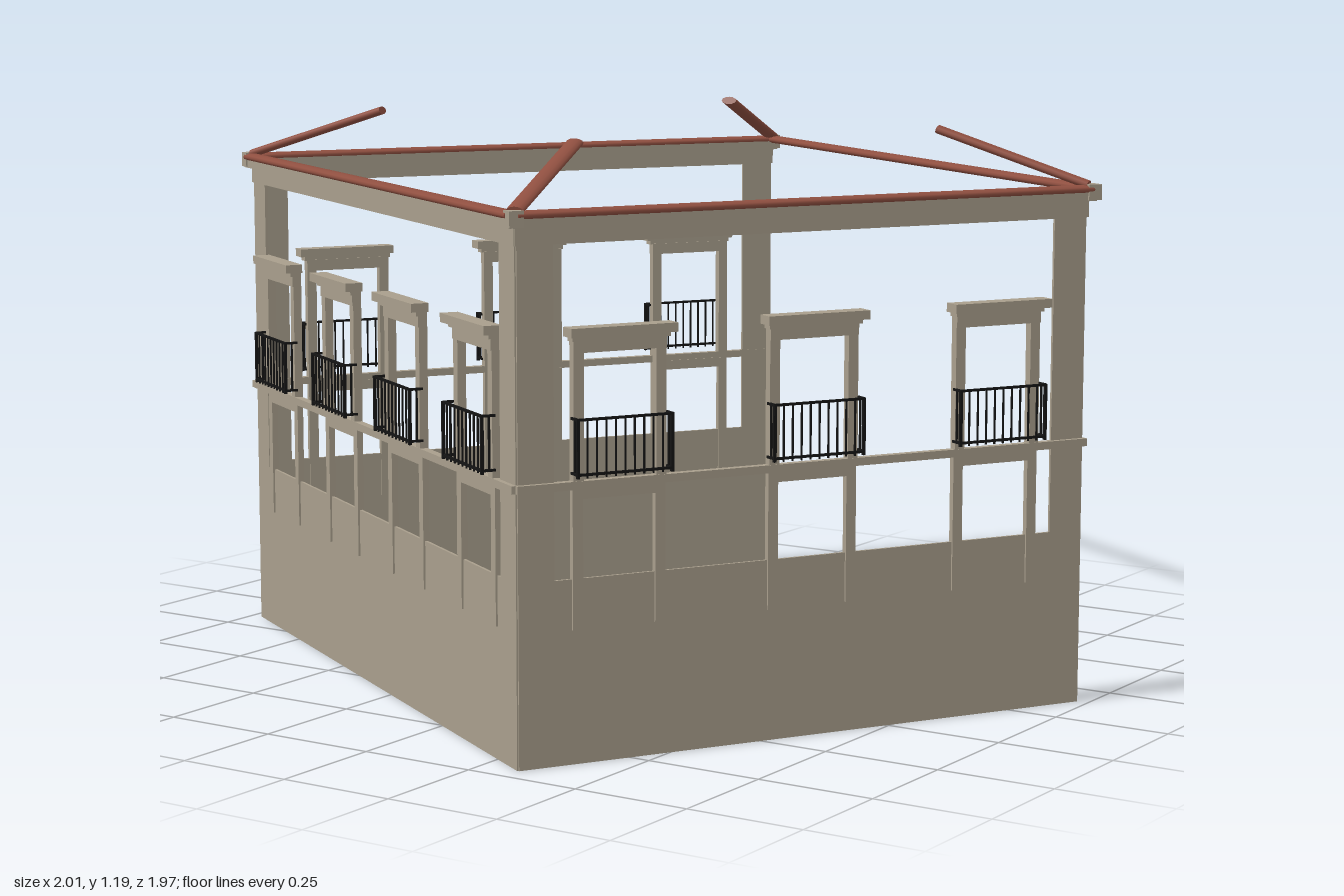
import * as THREE from 'three';

const mat = (name, color) => {
  const m = new THREE.MeshStandardMaterial({ color });
  m.name = name;
  return m;
};

export function createModel() {
  const stone = mat('stone', 0xa89e8c);
  const tile = mat('roof tile', 0x8f4f40);
  const iron = mat('black iron', 0x141414);

  const model = new THREE.Group();
  model.name = 'buildingShell';

  // box given by its extents along the wall, upward and outward
  const box = (parent, name, material, x0, x1, y0, y1, z0, z1) => {
    const mesh = new THREE.Mesh(new THREE.BoxGeometry(x1 - x0, y1 - y0, z1 - z0), material);
    mesh.position.set((x0 + x1) / 2, (y0 + y1) / 2, (z0 + z1) / 2);
    mesh.name = name;
    parent.add(mesh);
  };

  // flattened round tile run between two points
  const tileRun = (name, from, to) => {
    const length = from.distanceTo(to);
    const geo = new THREE.CylinderGeometry(0.018, 0.018, length, 12);
    geo.rotateX(Math.PI / 2).scale(1, 0.5, 1);
    const mesh = new THREE.Mesh(geo, tile);
    mesh.position.copy(from).lerp(to, 0.5);
    mesh.lookAt(to);
    mesh.name = name;
    model.add(mesh);
  };

  // balcony railing with front bars and short returns
  const railing = (parent) => {
    const r = new THREE.Group();
    r.name = 'balconyRailing';
    const t = 0.0025, w = 0.1, d = 0.034;
    for (const y of [0.572, 0.678]) {
      box(r, 'rail', iron, -w, w, y - t, y + t, d - t, d + t);
      for (const s of [-1, 1]) box(r, 'sideRail', iron, s * w - t, s * w + t, y - t, y + t, 0.006, d);
    }
    const bars = 10;
    for (let i = 0; i <= bars; i++) {
      const x = -w + (2 * w * i) / bars;
      const b = i % bars ? 0.0016 : 0.003;
      box(r, 'bar', iron, x - b, x + b, 0.565, 0.68, d - b, d + b);
    }
    for (const s of [-1, 1]) box(r, 'sideBar', iron, s * w - 0.0016, s * w + 0.0016, 0.572, 0.678, 0.017, 0.021);
    parent.add(r);
  };

  // upper window frame with hood, and the door frame beneath it
  const bay = (parent, x) => {
    const g = new THREE.Group();
    g.name = 'windowBay';
    g.position.x = x;
    for (const s of [-1, 1]) {
      const c = s * 0.088;
      box(g, 'windowJamb', stone, c - 0.011, c + 0.011, 0.555, 0.805, -0.006, 0.012);
      box(g, 'doorJamb', stone, c - 0.011, c + 0.011, 0.265, 0.525, -0.006, 0.007);
    }
    box(g, 'windowLintel', stone, -0.099, 0.099, 0.803, 0.828, -0.006, 0.014);
    box(g, 'windowHood', stone, -0.113, 0.113, 0.835, 0.853, -0.004, 0.034);
    box(g, 'hoodNeck', stone, -0.104, 0.104, 0.826, 0.837, -0.004, 0.02);
    box(g, 'doorLintel', stone, -0.099, 0.099, 0.52, 0.542, -0.006, 0.007);
    railing(g);
    parent.add(g);
  };

  // building corners on plan: x, z
  const corners = [[-0.973, 0.158], [0.335, 0.953], [0.973, -0.147], [-0.277, -0.953]];
  const bays = [4, 3, 0, 3];

  corners.forEach(([px, pz], i) => {
    const [qx, qz] = corners[(i + 1) % 4];
    const dx = qx - px, dz = qz - pz, L = Math.hypot(dx, dz);
    const ux = dx / L, uz = dz / L;

    // eaves tile run, set slightly outside the wall
    const eave = (t) => new THREE.Vector3(px + ux * t - uz * 0.008, 1.07, pz + uz * t + ux * 0.008);
    tileRun('eavesTiles', eave(-0.005), eave(L + 0.005));

    // short hip tiles rising from the corner
    const k = Math.hypot(px, pz);
    const hipTurn = [0.055, 0.0, 0.055, 0.0][i];
    const ends = [[-0.66, 0.085], [0.253, 0.64], [0.665, -0.08], [-0.203, -0.645]];
    tileRun('hipTiles', new THREE.Vector3(px * (1 + 0.005 / k), 1.078, pz * (1 + 0.005 / k)),
      new THREE.Vector3(ends[i][0], 1.183, ends[i][1]));

    if (!bays[i]) return;

    const wall = new THREE.Group();
    wall.name = 'wall';
    wall.position.set(px, 0, pz);
    wall.rotation.y = Math.atan2(-dz, dx);
    model.add(wall);

    box(wall, 'base', stone, 0, L, 0, 0.365, -0.003, 0.003);
    box(wall, 'leftPilaster', stone, 0, 0.076, 0.365, 1.02, -0.003, 0.003);
    box(wall, 'rightPilaster', stone, L - 0.076, L, 0.365, 1.02, -0.003, 0.003);
    box(wall, 'floorCornice', stone, -0.005, L + 0.005, 0.54, 0.556, -0.004, 0.013);
    box(wall, 'frieze', stone, -0.004, L + 0.004, 1.012, 1.046, -0.004, 0.006);
    box(wall, 'eavesCornice', stone, -0.014, L + 0.014, 1.046, 1.066, -0.008, 0.02);
    for (let b = 0; b < bays[i]; b++) bay(wall, (L * (b + 0.5)) / bays[i]);
  });

  // small caps where the eaves meet
  corners.forEach(([x, z]) => {
    const cap = new THREE.Mesh(new THREE.BoxGeometry(0.03, 0.032, 0.03), stone);
    cap.position.set(x * 1.012, 1.064, z * 1.012);
    cap.rotation.y = -0.55;
    cap.name = 'cornerCap';
    model.add(cap);
  });

  return model;
}
